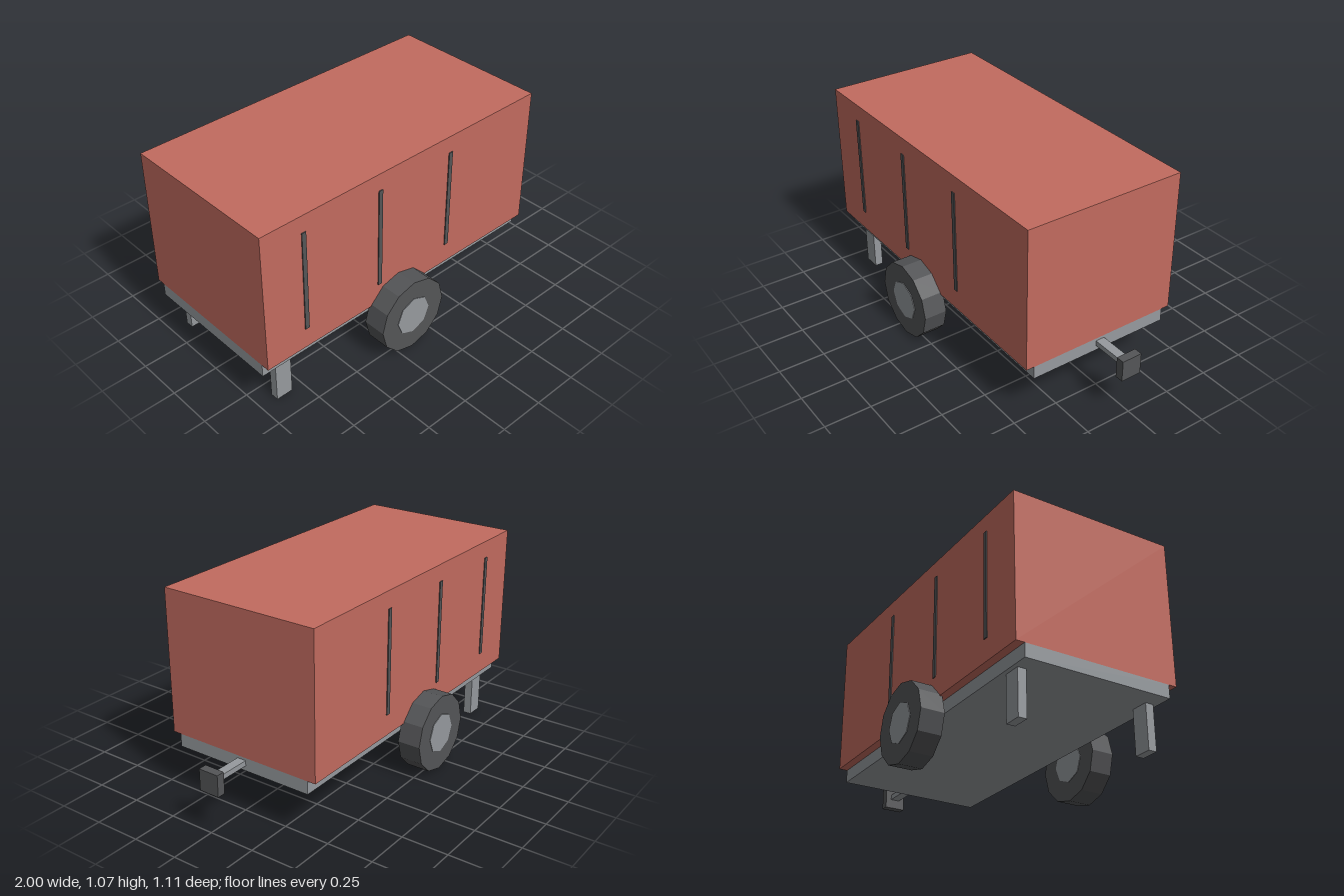
import * as THREE from 'three';

export function createModel() {
  const mat = (name, color) => {
    const m = new THREE.MeshStandardMaterial({ color, flatShading: true });
    m.name = name;
    return m;
  };
  const red = mat('red panel', 0xc26b5f);
  const grey = mat('grey metal', 0x969a9e);
  const dark = mat('dark rubber', 0x545557);

  const group = new THREE.Group();
  group.name = 'trailer';

  const add = (name, geometry, material, x, y, z) => {
    const mesh = new THREE.Mesh(geometry, material);
    mesh.name = name;
    mesh.position.set(x, y, z);
    group.add(mesh);
  };

  // Box given by its minimum and maximum on each axis
  const box = (name, material, [x0, x1], [y0, y1], [z0, z1]) =>
    add(name, new THREE.BoxGeometry(x1 - x0, y1 - y0, z1 - z0), material,
      (x0 + x1) / 2, (y0 + y1) / 2, (z0 + z1) / 2);

  // Cylinder with its axle along z
  const disc = (name, material, radius, width, sides, x, y, z) =>
    add(name, new THREE.CylinderGeometry(radius, radius, width, sides).rotateX(Math.PI / 2),
      material, x, y, z);

  // Cargo box and chassis
  box('cargoBox', red, [-1, 0.765], [0.305, 1.072], [-0.442, 0.442]);
  box('chassis', grey, [-1, 0.765], [0.235, 0.305], [-0.397, 0.397]);

  // Towing bar and coupler
  box('drawbar', grey, [0.765, 0.955], [0.263, 0.291], [-0.025, 0.025]);
  box('coupler', dark, [0.955, 1], [0.213, 0.328], [-0.056, 0.056]);

  for (const side of [1, -1]) {
    // Wheel with a hub showing on both faces
    disc('tire', dark, 0.209, 0.126, 12, -0.165, 0.209, side * 0.49);
    disc('hub', grey, 0.107, 0.132, 8, -0.165, 0.209, side * 0.49);

    // Rear support leg
    const z = side * 0.352;
    box('supportLeg', grey, [-0.908, -0.815], [0, 0.235], [z - 0.0225, z + 0.0225]);

    // Vertical side strips
    for (const x of [-0.76, -0.295, 0.172]) {
      box('sideStrip', dark, [x - 0.012, x + 0.012], [0.42, 0.98],
        [side * 0.4435 - 0.0035, side * 0.4435 + 0.0035]);
    }
  }

  return group;
}
